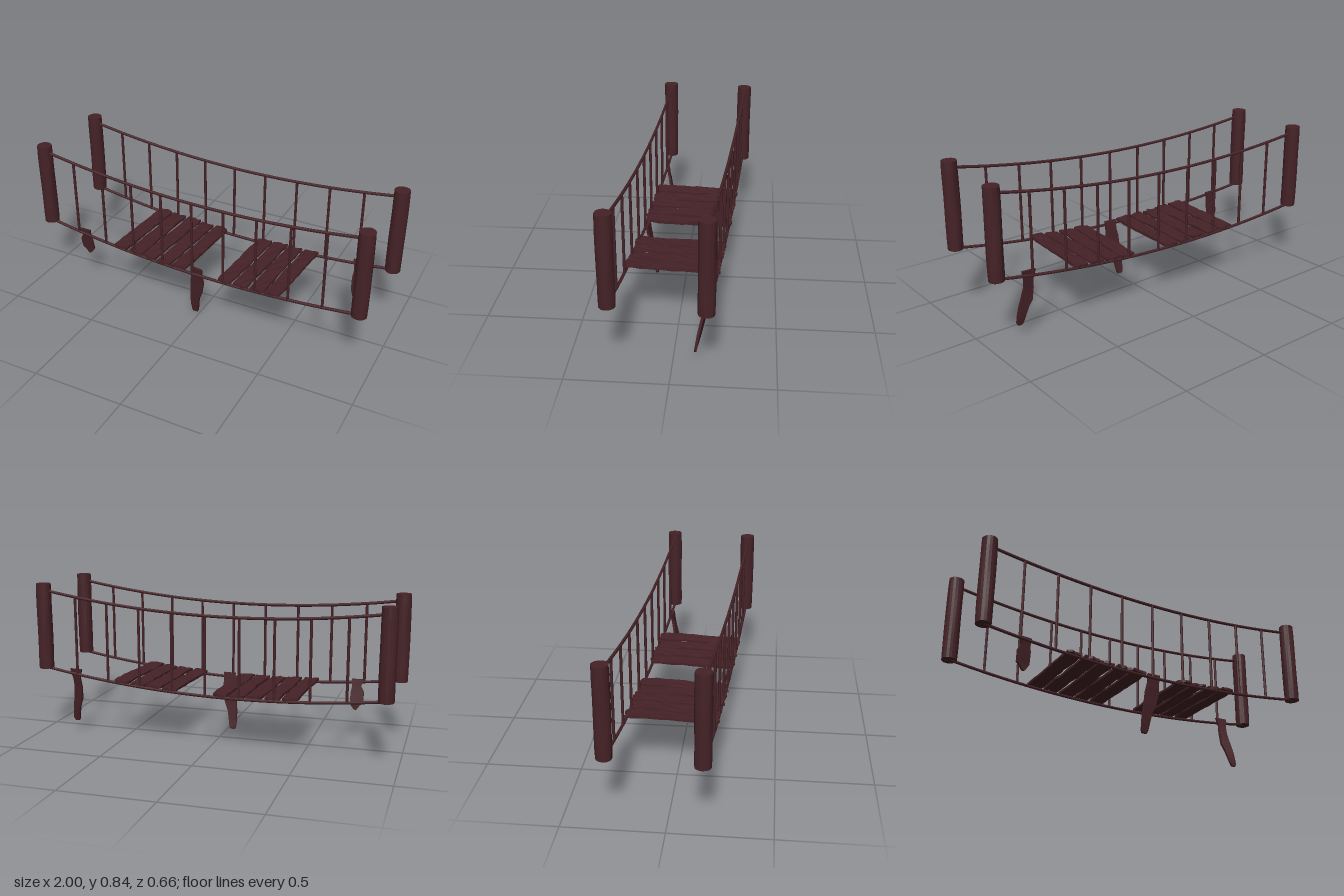
import * as THREE from 'three';

const mat = new THREE.MeshStandardMaterial({ color: 0x452227, flatShading: true });
const smoothMat = new THREE.MeshStandardMaterial({ color: 0x452227 });

const HALF_X = 0.945; // post positions along and across the bridge
const HALF_Z = 0.228;
const lowerY = (x) => 0.29 + 0.071 * (x / HALF_X) ** 2 + 0.013 * (x / HALF_X);
const upperY = (x) => 0.717 + 0.076 * (x / HALF_X) ** 2 + 0.013 * (x / HALF_X);

// repeatable noise in -1..1, the same for coincident vertices
function noise(a, b, c) {
  const s = Math.sin(Math.round(a * 1000) * 12.99 + Math.round(b * 1000) * 7.23 + Math.round(c * 1000) * 3.71) * 4375.85;
  return (s - Math.floor(s)) * 2 - 1;
}

function reshape(geo, rule) {
  const p = geo.attributes.position;
  const v = new THREE.Vector3();
  for (let i = 0; i < p.count; i++) {
    v.fromBufferAttribute(p, i);
    rule(v);
    p.setXYZ(i, v.x, v.y, v.z);
  }
  geo.computeVertexNormals();
  return geo;
}

function addMesh(parent, name, geo, material = mat) {
  const mesh = new THREE.Mesh(geo, material);
  mesh.name = name;
  parent.add(mesh);
  return mesh;
}

// round log with slightly uneven sides and a softened rim
function postGeometry(seed) {
  const h = 0.472, r = 0.041;
  return reshape(new THREE.CylinderGeometry(r, r, h, 18, 8), (v) => {
    const radius = Math.hypot(v.x, v.z);
    if (radius < 0.01) return;
    const a = Math.atan2(v.z, v.x);
    let k = 1 + 0.02 * Math.sin(a * 3 + v.y * 14 + seed) + 0.012 * Math.sin(a * 7 + seed * 2);
    if (Math.abs(v.y) > h / 2 - 0.001) k *= 0.97;
    v.x *= k;
    v.z *= k;
  });
}

// rough board with ragged ends
function plankGeometry(seed) {
  const len = 0.474;
  return reshape(new THREE.BoxGeometry(0.08, 0.013, len, 4, 1, 12), (v) => {
    const { x, y, z } = v;
    const edge = Math.abs(x) > 0.039;
    const end = Math.abs(z) > len / 2 - 0.001;
    if (edge) v.x += 0.003 * noise(seed, z, x);
    if (end) v.z += 0.008 * noise(x, seed, z);
    v.y += 0.0025 * noise(x + seed, y, z) + 0.002 * Math.sin(z * 17 + seed * 2);
  });
}

// splintered board given as rows: y, x from, x to, z at each of those
function brokenGeometry(rows) {
  const n = rows.length - 1;
  return reshape(new THREE.BoxGeometry(1, n, 0.013, 2, n, 1), (v) => {
    const [y, x0, x1, z0, z1] = rows[Math.round(n / 2 - v.y)];
    const t = v.x + 0.5;
    const thick = v.z;
    v.set(x0 + (x1 - x0) * t, y, z0 + (z1 - z0) * t + thick);
  });
}

function rope(parent, name, side, yAt) {
  const pts = [];
  for (let i = 0; i <= 16; i++) {
    const x = -HALF_X + (2 * HALF_X * i) / 16;
    pts.push(new THREE.Vector3(x, yAt(x), side * HALF_Z));
  }
  addMesh(parent, name, new THREE.TubeGeometry(new THREE.CatmullRomCurve3(pts), 48, 0.008, 8), smoothMat);
}

export function createModel() {
  const model = new THREE.Group();
  model.name = 'ropeBridge';

  const bridge = new THREE.Group();
  bridge.name = 'bridgeSpan';
  bridge.rotation.y = -0.063;
  model.add(bridge);

  for (const side of [1, -1]) {
    const label = side > 0 ? 'front' : 'back';
    // end posts
    for (const end of [-1, 1]) {
      const post = addMesh(bridge, label + (end > 0 ? 'LeftPost' : 'RightPost'), postGeometry(side + end * 2));
      post.position.set(end * HALF_X, 0.593 + end * 0.0125, side * HALF_Z);
    }
    // sagging ropes
    rope(bridge, label + 'HandRope', side, upperY);
    rope(bridge, label + 'FootRope', side, lowerY);
    // upright ropes
    for (let i = -4; i <= 4; i++) {
      const x = i * 0.188;
      const y0 = lowerY(x), y1 = upperY(x);
      const upright = addMesh(bridge, label + 'UprightRope', new THREE.CylinderGeometry(0.0075, 0.0075, y1 - y0, 8), smoothMat);
      upright.position.set(x, (y0 + y1) / 2, side * HALF_Z);
    }
  }

  // deck boards, with a gap where some are missing
  for (const slot of [0, 1, 2, 3, 4, 7, 8, 9, 10]) {
    const x = -0.459 + slot * 0.094;
    const plank = addMesh(bridge, 'plank', plankGeometry(slot + 1));
    plank.position.set(x, lowerY(x) + 0.015, 0);
    plank.rotation.z = Math.atan2(lowerY(x + 0.04) - lowerY(x - 0.04), 0.08);
    plank.rotation.y = 0.012 * Math.sin(slot * 2.3);
  }

  // broken boards dangling from the foot ropes
  addMesh(model, 'hangingPlankRight', brokenGeometry([
    [0.34, -0.765, -0.7, 0.17, 0.168],
    [0.3, -0.75, -0.703, 0.164, 0.162],
    [0.27, -0.768, -0.697, 0.16, 0.157],
    [0.21, -0.765, -0.695, 0.15, 0.146],
    [0.2, -0.75, -0.7, 0.148, 0.146],
    [0.175, -0.732, -0.718, 0.146, 0.146],
  ]));
  addMesh(model, 'hangingPlankMiddle', brokenGeometry([
    [0.318, -0.033, 0.036, 0.206, 0.214],
    [0.27, -0.03, 0.034, 0.2, 0.207],
    [0.225, -0.04, 0.04, 0.195, 0.2],
    [0.15, -0.045, 0.024, 0.187, 0.191],
    [0.1, -0.05, 0.004, 0.18, 0.183],
    [0.05, -0.05, -0.004, 0.173, 0.175],
    [0.012, -0.047, -0.01, 0.166, 0.167],
    [0, -0.042, -0.015, 0.165, 0.165],
  ]));
  addMesh(model, 'hangingPlankLeft', brokenGeometry([
    [0.372, 0.745, 0.815, -0.172, -0.163],
    [0.32, 0.757, 0.803, -0.163, -0.155],
    [0.27, 0.752, 0.8, -0.155, -0.145],
    [0.2, 0.755, 0.812, -0.145, -0.13],
    [0.16, 0.772, 0.82, -0.135, -0.122],
    [0.12, 0.782, 0.825, -0.125, -0.116],
    [0.075, 0.79, 0.828, -0.112, -0.11],
    [0.06, 0.798, 0.82, -0.108, -0.108],
  ]));

  return model;
}
